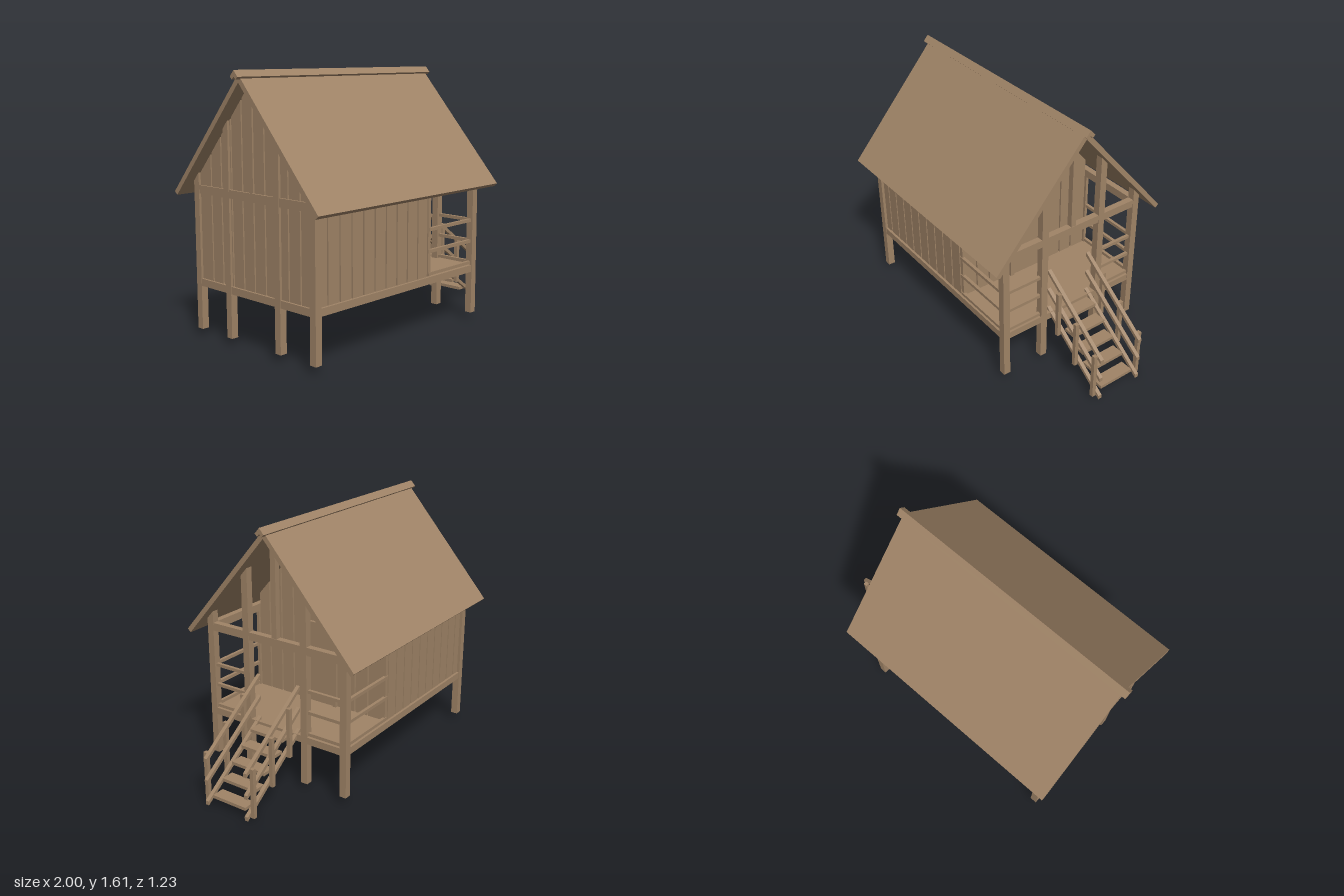
import * as THREE from 'three';

const wood = new THREE.MeshStandardMaterial({ color: 0xa08467 });
wood.name = 'brown wood';

const SLOPE = 1.148, PEAK = 1.59, THICK = 0.03;
const STEEP = Math.hypot(1, SLOPE);
// Height of the roof underside at a given z
const under = (z) => PEAK - THICK * STEEP - SLOPE * Math.abs(z);

export function createModel() {
  const model = new THREE.Group();
  model.name = 'stiltCabin';

  const add = (name, geometry) => {
    const mesh = new THREE.Mesh(geometry, wood);
    mesh.name = name;
    model.add(mesh);
    return mesh;
  };

  // Box given by its extents
  const box = (name, x0, x1, y0, y1, z0, z1) => {
    const g = new THREE.BoxGeometry(x1 - x0, y1 - y0, z1 - z0);
    g.translate((x0 + x1) / 2, (y0 + y1) / 2, (z0 + z1) / 2);
    return add(name, g);
  };

  const shapeOf = (pts) => new THREE.Shape(pts.map(([a, b]) => new THREE.Vector2(a, b)));

  // Profile in (z, y), extruded along x
  const alongX = (name, pts, x0, x1) => {
    const g = new THREE.ExtrudeGeometry(shapeOf(pts.map(([z, y]) => [-z, y])), { depth: x1 - x0, bevelEnabled: false });
    g.rotateY(Math.PI / 2);
    g.translate(x0, 0, 0);
    return add(name, g);
  };

  // Profile in (x, y), extruded along z
  const alongZ = (name, pts, z0, z1) => {
    const g = new THREE.ExtrudeGeometry(shapeOf(pts), { depth: z1 - z0, bevelEnabled: false });
    g.translate(0, 0, z0);
    return add(name, g);
  };

  // Upright board whose top is cut to the roof
  const upright = (name, x0, x1, y0, z0, z1) => {
    const pts = [[z0, y0], [z1, y0], [z1, under(z1)]];
    if (z0 < 0 && z1 > 0) pts.push([0, under(0)]);
    pts.push([z0, under(z0)]);
    alongX(name, pts, x0, x1);
  };

  // Roof shells: an inverted V of even thickness
  const chevron = (name, peak, reach, thick, x0, x1) => {
    const eave = peak - SLOPE * reach;
    const inZ = reach - thick * SLOPE / STEEP, inY = eave - thick / STEEP;
    alongX(name, [
      [-reach, eave], [-inZ, inY], [0, peak - thick * STEEP],
      [inZ, inY], [reach, eave], [0, peak],
    ], x0, x1);
  };
  chevron('roof', PEAK, 0.613, THICK, -0.97, 0.61);
  chevron('ridgeCap', 1.613, 0.032, 0.023, -1, 0.64);

  // Floor
  box('floor', -0.898, 0.533, 0.315, 0.36, -0.512, 0.512);

  // Gable frames: four stilt posts, tie beam and king post
  for (const [x0, x1] of [[-0.9, -0.855], [0.49, 0.535]]) {
    for (const z of [-0.4925, -0.2125, 0.2125, 0.4925]) {
      upright('stiltPost', x0, x1, 0.045, z - 0.0225, z + 0.0225);
    }
    box('tieBeam', x0 + 0.002, x1 - 0.002, 0.88, 0.93, -0.513, 0.513);
    upright('kingPost', x0 + 0.005, x1 - 0.005, 0.93, -0.018, 0.018);
  }

  // Gable planks on the back wall and the porch wall
  const gapsZ = [-0.477];
  for (let k = -4; k <= 4; k++) gapsZ.push(0.012 + 0.0945 * k);
  gapsZ.push(0.477);
  for (const [x0, x1, name] of [[-0.885, -0.868, 'endPlank'], [0.06, 0.08, 'porchPlank']]) {
    for (let i = 0; i < gapsZ.length - 1; i++) {
      upright(name, x0, x1, 0.36, gapsZ[i] + 0.005, gapsZ[i + 1] - 0.005);
    }
  }

  // Long walls, eave beams and porch railings on both sides
  const gapsX = [-0.86];
  for (let k = 0; k <= 9; k++) gapsX.push(-0.79 + 0.0945 * k);
  gapsX.push(0.095);
  for (const s of [-1, 1]) {
    const side = (name, x0, x1, y0, y1, a, b) =>
      box(name, x0, x1, y0, y1, Math.min(s * a, s * b), Math.max(s * a, s * b));
    for (let i = 0; i < gapsX.length - 1; i++) {
      side('sidePlank', gapsX[i] + 0.005, gapsX[i + 1] - 0.005, 0.36, 0.9, 0.478, 0.497);
    }
    side('eaveBeam', -0.9, 0.535, 0.88, 0.93, 0.472, 0.513);
    for (const y of [0.375, 0.515, 0.65]) {
      side('sideRail', 0.07, 0.5, y - 0.01, y + 0.01, 0.482, 0.502);
      side('porchRail', 0.502, 0.522, y - 0.01, y + 0.01, 0.23, 0.475);
    }
  }

  // Door with its frame
  box('door', 0.08, 0.09, 0.36, 0.875, -0.112, 0.112);
  for (const s of [-1, 1]) box('doorJamb', 0.08, 0.1, 0.36, 0.89, s * 0.127 - 0.013, s * 0.127 + 0.013);
  box('doorHeader', 0.08, 0.1, 0.877, 0.9, -0.14, 0.14);

  // Stair treads
  for (let i = 0; i < 5; i++) {
    const x = 0.543 + 0.0875 * i, y = 0.34 - 0.0715 * i;
    box('stairTread', x, x + 0.083, y - 0.01, y + 0.01, -0.122, 0.122);
  }

  // Stair stringers, handrails and their posts
  const drop = 0.71;
  for (const s of [-1, 1]) {
    const z = s * 0.149;
    for (const [name, y] of [['stairStringer', 0.013], ['stairMidRail', 0.153], ['stairHandrail', 0.293]]) {
      const x0 = 0.5, yTop = y + drop * (1 - x0), h = 0.013;
      alongZ(name, [[x0, yTop - h], [1, y - h], [1, y + h], [x0, yTop + h]], z - 0.012, z + 0.012);
    }
    for (const x of [0.622, 0.788, 0.96]) {
      const y = 0.013 + drop * (1 - x);
      box('stairPost', x - 0.0125, x + 0.0125, y - 0.03, y + 0.285, s * 0.173 - 0.0125, s * 0.173 + 0.0125);
    }
  }

  return model;
}
